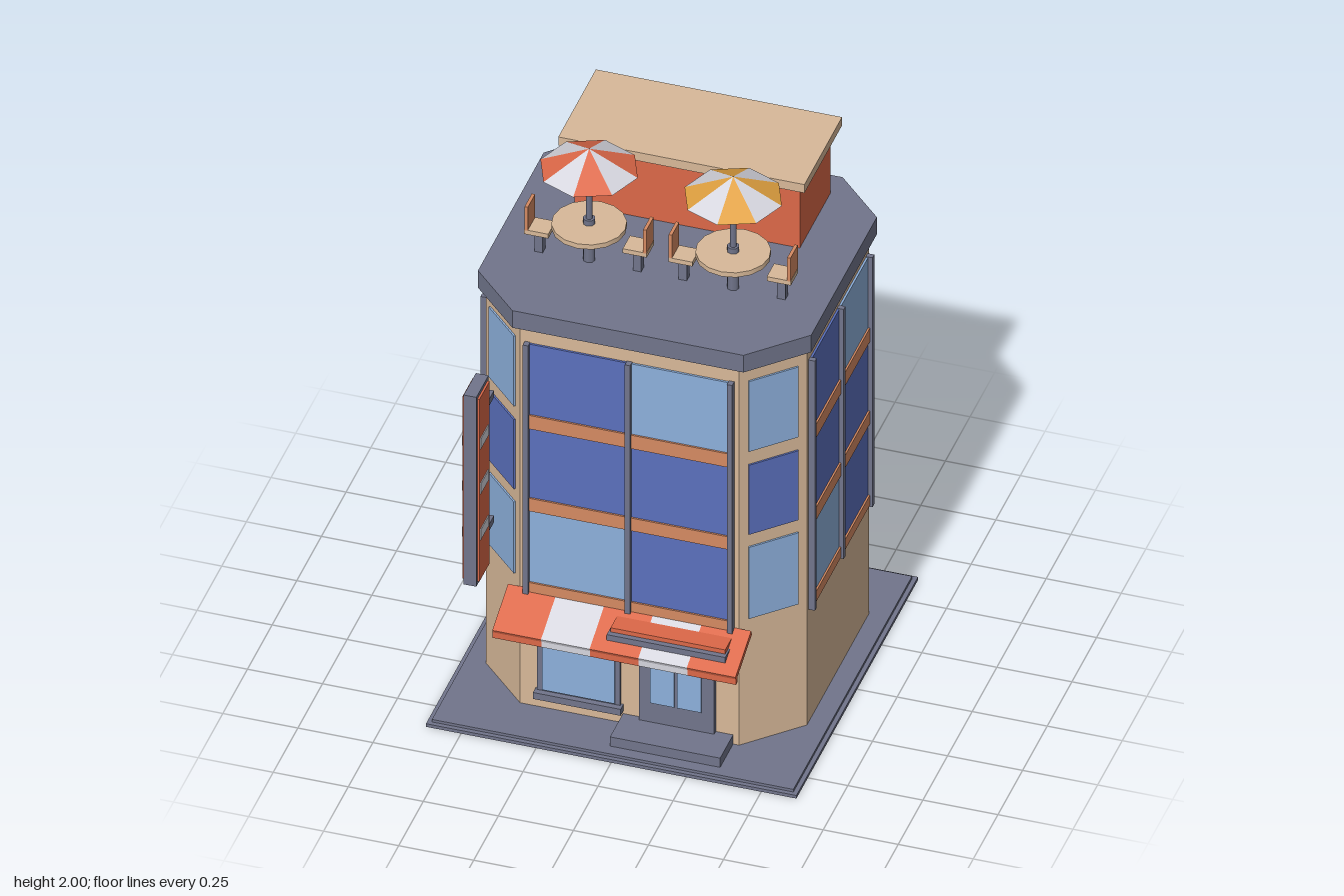
import * as THREE from 'three';

const mat = (name, color, side = THREE.FrontSide) => {
  const m = new THREE.MeshStandardMaterial({ color, side });
  m.name = name;
  return m;
};

export function createModel() {
  const wall = mat('tan wall', 0xd8b999);
  const gray = mat('slate gray', 0x71758b);
  const red = mat('brick red', 0xdc6848, THREE.DoubleSide);
  const band = mat('soft orange', 0xd58a62);
  const deep = mat('deep blue glass', 0x5b70bd);
  const sky = mat('sky blue glass', 0x8db0dc);
  const white = mat('off white', 0xd6d6de, THREE.DoubleSide);
  const yellow = mat('golden yellow', 0xe0a040, THREE.DoubleSide);

  const model = new THREE.Group();
  model.name = 'cornerBuilding';
  const CZ = -0.055; // building centre in z

  const add = (parent, name, geo, m) => {
    const mesh = new THREE.Mesh(geo, m);
    mesh.name = name;
    parent.add(mesh);
    return mesh;
  };
  // box given by its limits on each axis
  const box = (parent, name, m, x0, x1, y0, y1, z0, z1) => {
    const mesh = add(parent, name, new THREE.BoxGeometry(x1 - x0, y1 - y0, z1 - z0), m);
    mesh.position.set((x0 + x1) / 2, (y0 + y1) / 2, (z0 + z1) / 2);
    return mesh;
  };
  const post = (parent, name, m, r, y0, y1, sides = 8) => {
    const mesh = add(parent, name, new THREE.CylinderGeometry(r, r, y1 - y0, sides), m);
    mesh.position.y = (y0 + y1) / 2;
    return mesh;
  };
  // rectangular prism with cut corners
  const prism = (name, m, hx, hz, cut, y0, y1) => {
    const s = new THREE.Shape([
      [hx, hz - cut], [hx - cut, hz], [cut - hx, hz], [-hx, hz - cut],
      [-hx, cut - hz], [cut - hx, -hz], [hx - cut, -hz], [hx, cut - hz],
    ].map(([x, y]) => new THREE.Vector2(x, y)));
    const geo = new THREE.ExtrudeGeometry(s, { depth: y1 - y0, bevelEnabled: false });
    geo.rotateX(-Math.PI / 2);
    add(model, name, geo, m).position.set(0, y0, CZ);
  };

  // plot, tower and roof slab
  box(model, 'pavement', gray, -0.617, 0.617, 0, 0.012, -0.617, 0.617);
  box(model, 'pavementTop', gray, -0.602, 0.602, 0.012, 0.022, -0.602, 0.602);
  prism('tower', wall, 0.535, 0.485, 0.17, 0.02, 1.5);
  prism('roofSlab', gray, 0.555, 0.503, 0.17, 1.5, 1.567);

  // window walls: local x runs to the right seen from outside, z outwards
  const rows = [[0.51, 0.79], [0.84, 1.112], [1.165, 1.44]];
  const bands = [[0.47, 0.51], [0.79, 0.84], [1.112, 1.165]];
  const windowWall = (name, angle, dist, half, flip) => {
    const g = new THREE.Group();
    g.name = name;
    g.rotation.y = angle;
    g.position.set(Math.sin(angle) * dist, 0, CZ + Math.cos(angle) * dist);
    model.add(g);
    rows.forEach(([y0, y1], r) => [0, 1].forEach((c) => {
      const col = flip ? 1 - c : c;
      const light = (r === 0 && col === 0) || (r === 2 && col === 1);
      box(g, 'windowPane', light ? sky : deep, c ? 0 : -half, c ? half : 0, y0, y1, -0.001, 0.007);
    }));
    bands.forEach(([y0, y1]) => box(g, 'floorBand', band, -half, half, y0, y1, -0.001, 0.013));
    [-half, 0, half].forEach((x) => box(g, 'mullion', gray, x - 0.009, x + 0.009, 0.465, 1.443, -0.001, 0.022));
  };
  windowWall('frontWindows', 0, 0.485, 0.34, false);
  windowWall('leftWindows', Math.PI / 2, 0.535, 0.292, false);
  windowWall('backWindows', Math.PI, 0.485, 0.34, true);
  windowWall('rightWindows', -Math.PI / 2, 0.535, 0.292, false);

  // single windows on the cut corners
  for (const sx of [-1, 1]) for (const sz of [-1, 1]) {
    const g = new THREE.Group();
    g.name = 'cornerWindows';
    g.position.set(sx * 0.45, 0, CZ + sz * 0.4);
    g.rotation.y = Math.atan2(sx, sz);
    model.add(g);
    rows.forEach(([y0, y1], r) => box(g, 'cornerPane', r === 1 ? deep : sky, -0.088, 0.088, y0, y1, -0.002, 0.006));
  }

  // shop window
  box(model, 'shopWindowFrame', gray, -0.305, -0.028, 0.08, 0.4, 0.425, 0.44);
  box(model, 'shopWindowGlass', sky, -0.288, -0.045, 0.1, 0.385, 0.437, 0.444);
  box(model, 'shopWindowSill', gray, -0.312, -0.02, 0.07, 0.095, 0.425, 0.46);

  // door and step
  box(model, 'doorFrame', gray, 0.036, 0.287, 0.055, 0.4, 0.425, 0.446);
  for (const x of [0.075, 0.165]) box(model, 'doorGlass', sky, x, x + 0.08, 0.135, 0.365, 0.443, 0.45);
  box(model, 'doorStep', gray, -0.022, 0.345, 0.02, 0.058, 0.42, 0.562);

  // striped awning with a hanging edge
  for (let i = 0; i < 5; i++) {
    const x0 = -0.405 + i * 0.162;
    const m = i % 2 ? white : red;
    const slope = box(model, 'awningStripe', m, x0, x0 + 0.162, 0.425, 0.445, 0.418, 0.593);
    slope.position.set(x0 + 0.081, 0.434, 0.506);
    slope.rotation.x = 0.42;
    box(model, 'awningEdge', m, x0, x0 + 0.162, 0.375, 0.405, 0.567, 0.585);
  }

  // door canopy
  box(model, 'canopySlab', gray, -0.037, 0.358, 0.425, 0.447, 0.43, 0.55);
  box(model, 'canopyTop', red, -0.03, 0.352, 0.447, 0.463, 0.43, 0.532);

  // blade sign on brackets
  box(model, 'signFrame', gray, -0.491, -0.449, 0.588, 1.33, 0.494, 0.618);
  box(model, 'signPanel', red, -0.498, -0.442, 0.602, 1.316, 0.504, 0.608);
  for (const y of [0.782, 0.962, 1.138]) {
    box(model, 'signPatch', white, -0.501, -0.439, y - 0.02, y + 0.02, 0.52, 0.602);
  }
  for (const y of [0.715, 1.205]) box(model, 'signBracket', gray, -0.485, -0.455, y - 0.013, y + 0.013, 0.42, 0.5);

  // rooftop house
  box(model, 'roofHouse', red, -0.375, 0.375, 1.56, 1.832, -0.465, -0.155);
  box(model, 'roofHouseLid', wall, -0.41, 0.41, 1.832, 1.865, -0.476, -0.095);

  // one flat triangle sector of an umbrella
  const sector = (i) => {
    const at = (k) => [Math.cos(k * Math.PI / 4) * 0.162, 1.922, -Math.sin(k * Math.PI / 4) * 0.162];
    const geo = new THREE.BufferGeometry();
    geo.setAttribute('position', new THREE.Float32BufferAttribute([0, 2, 0, ...at(i), ...at(i + 1)], 3));
    geo.computeVertexNormals();
    return geo;
  };

  // rooftop tables with umbrellas and two chairs each
  for (const [x, colour] of [[-0.24, red], [0.24, yellow]]) {
    const set = new THREE.Group();
    set.name = 'tableSet';
    set.position.set(x, 0, 0.11);
    model.add(set);
    post(set, 'tableLeg', gray, 0.02, 1.56, 1.695);
    post(set, 'tableTop', wall, 0.12, 1.692, 1.71, 16);
    post(set, 'tableCollar', gray, 0.02, 1.71, 1.73);
    post(set, 'umbrellaPole', gray, 0.011, 1.71, 1.985);
    for (let i = 0; i < 8; i++) add(set, 'umbrellaSector', sector(i), i % 2 ? white : colour);
    // even sectors start at +x, so the upper left one needs an even index
    for (const s of [-1, 1]) {
      const chair = new THREE.Group();
      chair.name = 'chair';
      chair.rotation.y = s > 0 ? 0 : Math.PI;
      set.add(chair);
      box(chair, 'chairLeg', gray, 0.15, 0.178, 1.56, 1.648, -0.014, 0.014);
      box(chair, 'chairSeat', wall, 0.124, 0.204, 1.645, 1.662, -0.037, 0.037);
      box(chair, 'chairBack', band, 0.192, 0.203, 1.66, 1.752, -0.037, 0.037);
    }
  }
  return model;
}
